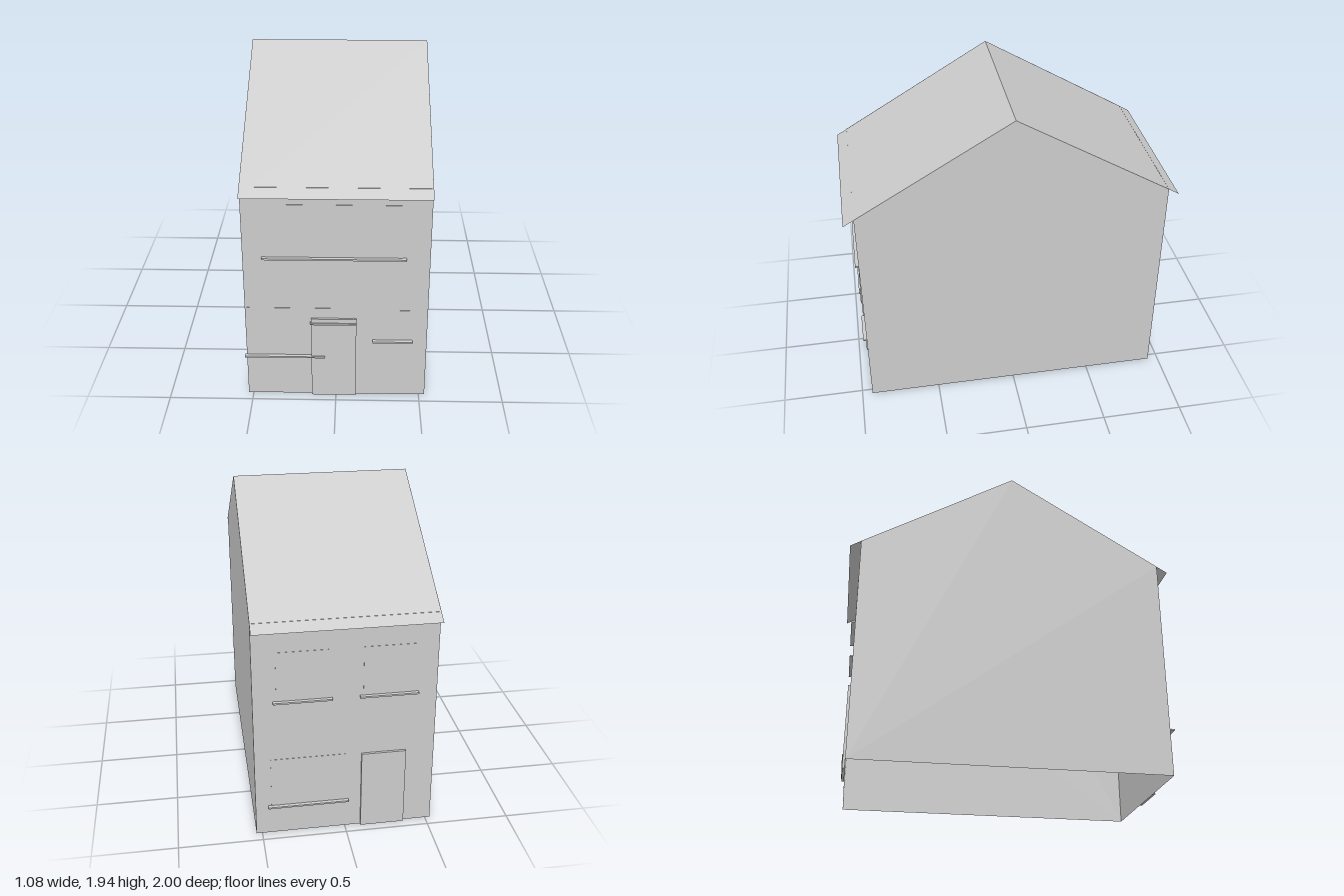
import * as THREE from 'three';

const LEFT = 0.535, RIGHT = -0.53;      // gable wall positions
const WALL_Z = 0.935, EAVE_Y = 1.385;   // front and back walls
const RIDGE_Y = 1.94, ROOF_Z = 1, ROOF_Y = 1.345;
const WIDTH = LEFT - RIGHT, MID = (LEFT + RIGHT) / 2;

export function createModel() {
  const house = new THREE.Group();
  house.name = 'house';
  const solid = new THREE.MeshStandardMaterial({ color: 0xcccccc, flatShading: true });
  const sheet = new THREE.MeshStandardMaterial({ color: 0xcccccc, flatShading: true, side: THREE.DoubleSide });

  const add = (name, geometry, material) => {
    const mesh = new THREE.Mesh(geometry, material);
    mesh.name = name;
    house.add(mesh);
    return mesh;
  };

  // Box set against the front (side 1) or back (side -1) wall
  const onWall = (name, side, x0, x1, y0, y1, depth) => {
    const mesh = add(name, new THREE.BoxGeometry(x1 - x0, y1 - y0, depth), solid);
    mesh.position.set((x0 + x1) / 2, (y0 + y1) / 2, side * (WALL_Z + depth / 2));
  };

  // Thin pane with a projecting sill that is a little wider
  const windowUnit = (name, side, x0, x1, y0, y1) => {
    onWall(name + 'Pane', side, x0, x1, y0, y1, 0.002);
    onWall(name + 'Sill', side, x0 - 0.02, x1 + 0.02, y0 - 0.01, y0, 0.024);
  };

  // Front and back walls; the shell is open underneath
  for (const side of [1, -1]) {
    const wall = add(side > 0 ? 'frontWall' : 'backWall', new THREE.PlaneGeometry(WIDTH, EAVE_Y), sheet);
    wall.position.set(MID, EAVE_Y / 2, side * WALL_Z);
    if (side < 0) wall.rotation.y = Math.PI;
  }

  // Gable walls
  const gable = new THREE.Shape([
    new THREE.Vector2(-WALL_Z, 0),
    new THREE.Vector2(WALL_Z, 0),
    new THREE.Vector2(WALL_Z, EAVE_Y),
    new THREE.Vector2(0, RIDGE_Y),
    new THREE.Vector2(-WALL_Z, EAVE_Y),
  ]);
  for (const side of [1, -1]) {
    const wall = add(side > 0 ? 'leftGable' : 'rightGable', new THREE.ShapeGeometry(gable), sheet);
    wall.position.x = side > 0 ? LEFT : RIGHT;
    wall.rotation.y = side * Math.PI / 2;
  }

  // Two thin roof slopes overhanging the front and back
  const slope = Math.hypot(ROOF_Z, RIDGE_Y - ROOF_Y);
  const pitch = Math.atan2(ROOF_Z, RIDGE_Y - ROOF_Y);
  for (const side of [1, -1]) {
    const geometry = new THREE.PlaneGeometry(WIDTH, slope).rotateX(-pitch);
    if (side < 0) geometry.rotateY(Math.PI);
    const roof = add(side > 0 ? 'frontRoof' : 'backRoof', geometry, sheet);
    roof.position.set(MID, (RIDGE_Y + ROOF_Y) / 2, side * ROOF_Z / 2);
  }

  // Front windows, door and low panel
  windowUnit('frontUpperRight', 1, -0.4, -0.013, 0.95, 1.28);
  windowUnit('frontUpperLeft', 1, -0.003, 0.38, 0.95, 1.28);
  windowUnit('frontLowerLeft', 1, 0.235, 0.43, 0.395, 0.6);
  windowUnit('frontLowerRight', 1, -0.52, -0.085, 0.283, 0.61);
  windowUnit('frontTransom', 1, -0.13, 0.1, 0.517, 0.61);
  onWall('frontLowPanel', 1, -0.51, -0.1, 0.01, 0.272, 0.002);
  onWall('frontDoor', 1, -0.145, 0.12, 0, 0.543, 0.015);

  // Back windows and door
  windowUnit('backUpperLeft', -1, 0.1, 0.4, 0.895, 1.2);
  windowUnit('backUpperRight', -1, -0.4, -0.1, 0.895, 1.2);
  windowUnit('backLowerLeft', -1, 0, 0.44, 0.193, 0.51);
  onWall('backDoor', -1, -0.36, -0.095, 0, 0.505, 0.015);

  return house;
}
